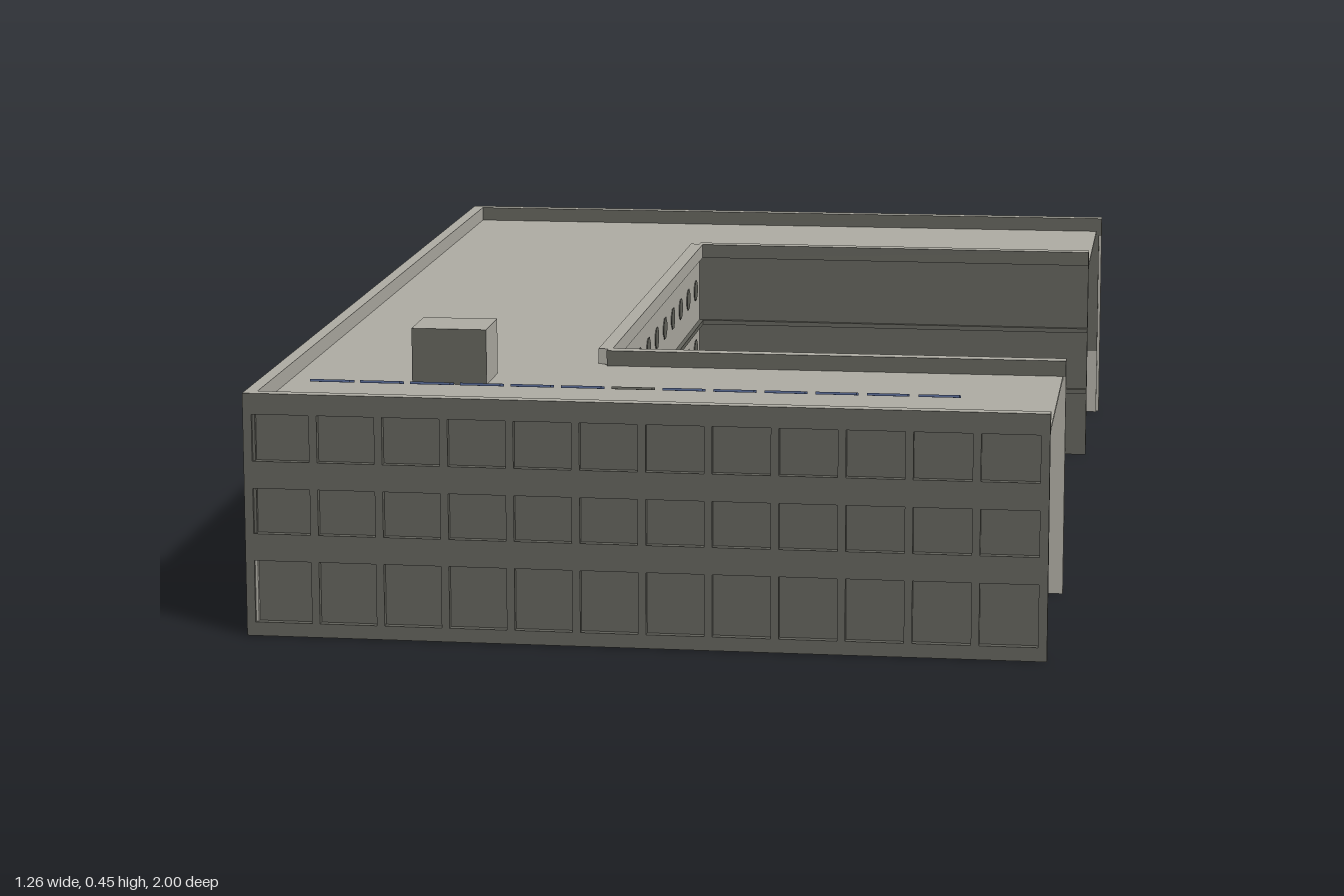
import * as THREE from 'three';

const mat = (name, color) => {
  const m = new THREE.MeshStandardMaterial({ color });
  m.name = name;
  return m;
};

export function createModel() {
  const stone = mat('stone', 0xaeaca3);
  const dark = mat('darkGrey', 0x62625b);
  const blue = mat('panelBlue', 0x4f6089);
  const orange = mat('orange', 0xb26b44);

  // Box face order: +x, -x, +y, -y, +z, -z
  const darkOutside = [stone, stone, stone, stone, dark, stone];
  const darkInside = [stone, stone, stone, stone, stone, dark];
  const lightTop = [dark, dark, stone, dark, dark, dark];

  const model = new THREE.Group();
  model.name = 'courtyardBuilding';

  const add = (parent, name, geo, material, x = 0, y = 0, z = 0) => {
    const mesh = new THREE.Mesh(geo, material);
    mesh.name = name;
    mesh.position.set(x, y, z);
    parent.add(mesh);
    return mesh;
  };
  const box = (parent, name, material, x0, x1, y0, y1, z0, z1) =>
    add(parent, name, new THREE.BoxGeometry(x1 - x0, y1 - y0, z1 - z0), material,
      (x0 + x1) / 2, (y0 + y1) / 2, (z0 + z1) / 2);

  // Rounded pane that reads from both sides of a thin wall
  const pane = (parent, x, y, z, w, h, depth) => {
    const geo = new THREE.CylinderGeometry(0.54, 0.54, depth, 8);
    geo.rotateY(Math.PI / 8).rotateX(Math.PI / 2).scale(w, h, 1);
    add(parent, 'roundedWindow', geo, dark, x, y, z);
  };

  // Wall frame: local x runs along the wall, local +z points outward
  const wallGroup = (name, [x0, z0], [x1, z1]) => {
    const g = new THREE.Group();
    g.name = name;
    g.position.set(x0, 0, z0);
    g.rotation.y = Math.atan2(z0 - z1, x1 - x0);
    model.add(g);
    return { g, len: Math.hypot(x1 - x0, z1 - z0) };
  };

  const TOP = 0.385, ROOF = 0.36;
  const floors = [[0.022, 0.12], [0.163, 0.235], [0.278, 0.356]];

  // Street facade: grid of openings in front of a recessed dark lining
  const facade = (name, p, q, count, gridMaterial, groundMaterial, parapetMaterial) => {
    const { g, len } = wallGroup(name, p, q);
    const shape = new THREE.Shape([[0, 0], [len, 0], [len, TOP - 0.001], [0, TOP - 0.001]]
      .map(([x, y]) => new THREE.Vector2(x, y)));
    const pitch = (len - 0.015) / count;
    const mid = i => 0.0075 + (i + 0.5) * pitch;
    for (let i = 0; i < count; i++) {
      for (const [y0, y1] of floors) {
        const a = mid(i) - 0.045, b = mid(i) + 0.045;
        shape.holes.push(new THREE.Path([[a, y0], [a, y1], [b, y1], [b, y0]]
          .map(([x, y]) => new THREE.Vector2(x, y))));
      }
    }
    add(g, 'windowGrid', new THREE.ExtrudeGeometry(shape, { depth: 0.012, bevelEnabled: false }),
      gridMaterial, 0, 0, -0.012);
    box(g, 'upperLining', dark, 0.005, len - 0.005, 0.122, ROOF, -0.018, -0.012);
    box(g, 'groundLining', groundMaterial, 0.005, len - 0.005, 0, 0.122, -0.018, -0.012);
    box(g, 'parapet', parapetMaterial, 0, len, ROOF - 0.008, TOP, -0.02, 0);
    if (groundMaterial === stone) {
      for (let i = 0; i < count; i++) {
        pane(g, mid(i), 0.066, -0.015, 0.066, 0.056, 0.009);
        box(g, 'lowerWindow', dark, mid(i) - 0.025, mid(i) + 0.025, 0.024, 0.03, -0.0195, -0.0105);
      }
    }
  };

  const A = [-0.63, 0.985], B = [0.615, 0.995], C = [-0.62, -0.945], D = [0.625, -0.95];
  facade('frontFacade', A, B, 12, dark, dark, darkOutside);
  facade('sideFacade', C, A, 19, stone, stone, stone);
  facade('backFacade', D, C, 12, stone, stone, darkInside);

  // Courtyard walls: ledges, parapet and rows of rounded windows
  const courtWall = (name, p, q, material, parapetMaterial, count, start, pitch) => {
    const { g, len } = wallGroup(name, p, q);
    box(g, 'wall', material, 0, len, 0, TOP - 0.001, -0.012, 0);
    for (const y of [0.122, 0.237]) {
      box(g, 'ledge', dark, 0, len, y - 0.004, y + 0.004, 0, 0.008);
    }
    box(g, 'parapet', parapetMaterial, 0, len, ROOF, TOP, -0.016, 0.007);
    for (let i = 0; i < count; i++) {
      const x = start + i * pitch;
      pane(g, x, 0.068, -0.006, 0.056, 0.048, 0.015);
      pane(g, x, 0.193, -0.006, 0.04, 0.035, 0.015);
      pane(g, x, 0.305, -0.006, 0.04, 0.037, 0.015);
    }
  };
  const E = [0.62, 0.55], F = [-0.125, 0.55], G = [-0.115, -0.53], H = [0.615, -0.525];
  courtWall('frontWingCourtWall', E, F, stone, darkInside, 7, 0.06, 0.1);
  courtWall('middleCourtWall', F, G, stone, stone, 11, 0.04, 0.0985);
  courtWall('backWingCourtWall', G, H, dark, lightTop, 0, 0, 0);

  // Flat roof slab around the courtyard
  const roofShape = new THREE.Shape([
    [-0.624, 0.979], [0.615, 0.989], [0.615, 0.555], [-0.13, 0.555],
    [-0.122, -0.535], [0.615, -0.53], [0.615, -0.944], [-0.614, -0.939],
  ].map(([x, z]) => new THREE.Vector2(x, -z)));
  const roofGeo = new THREE.ExtrudeGeometry(roofShape, { depth: 0.006, bevelEnabled: false });
  roofGeo.rotateX(-Math.PI / 2);
  add(model, 'roof', roofGeo, stone, 0, ROOF - 0.006, 0);
  box(model, 'roofHut', darkOutside, -0.41, -0.29, ROOF, 0.449, 0.65, 0.75);

  // Row of tilted roof panels, the middle one dark
  for (let i = 0; i < 13; i++) {
    const p = add(model, 'roofPanel', new THREE.BoxGeometry(0.063, 0.004, 0.036),
      i === 6 ? dark : blue, -0.515 + i * 0.0795, 0.383, 0.861 + i * 0.0005);
    p.rotation.x = -0.2;
  }

  // Orange planters along the back
  for (const [x, z] of [[-0.085, -0.985], [0.015, -0.986], [0.115, -0.986], [0.214, -0.987], [0.558, -0.99]]) {
    box(model, 'planter', orange, x - 0.036, x + 0.036, 0.002, 0.024, z - 0.01, z + 0.01);
  }

  // Back entrance: canopy and steps
  box(model, 'entranceCanopy', blue, 0.27, 0.41, 0.096, 0.116, -0.957, -0.947);
  box(model, 'entranceUpperStep', stone, 0.27, 0.41, 0, 0.012, -0.962, -0.945);
  box(model, 'entranceLowerStep', stone, 0.28, 0.4, 0, 0.006, -0.978, -0.962);

  return model;
}
